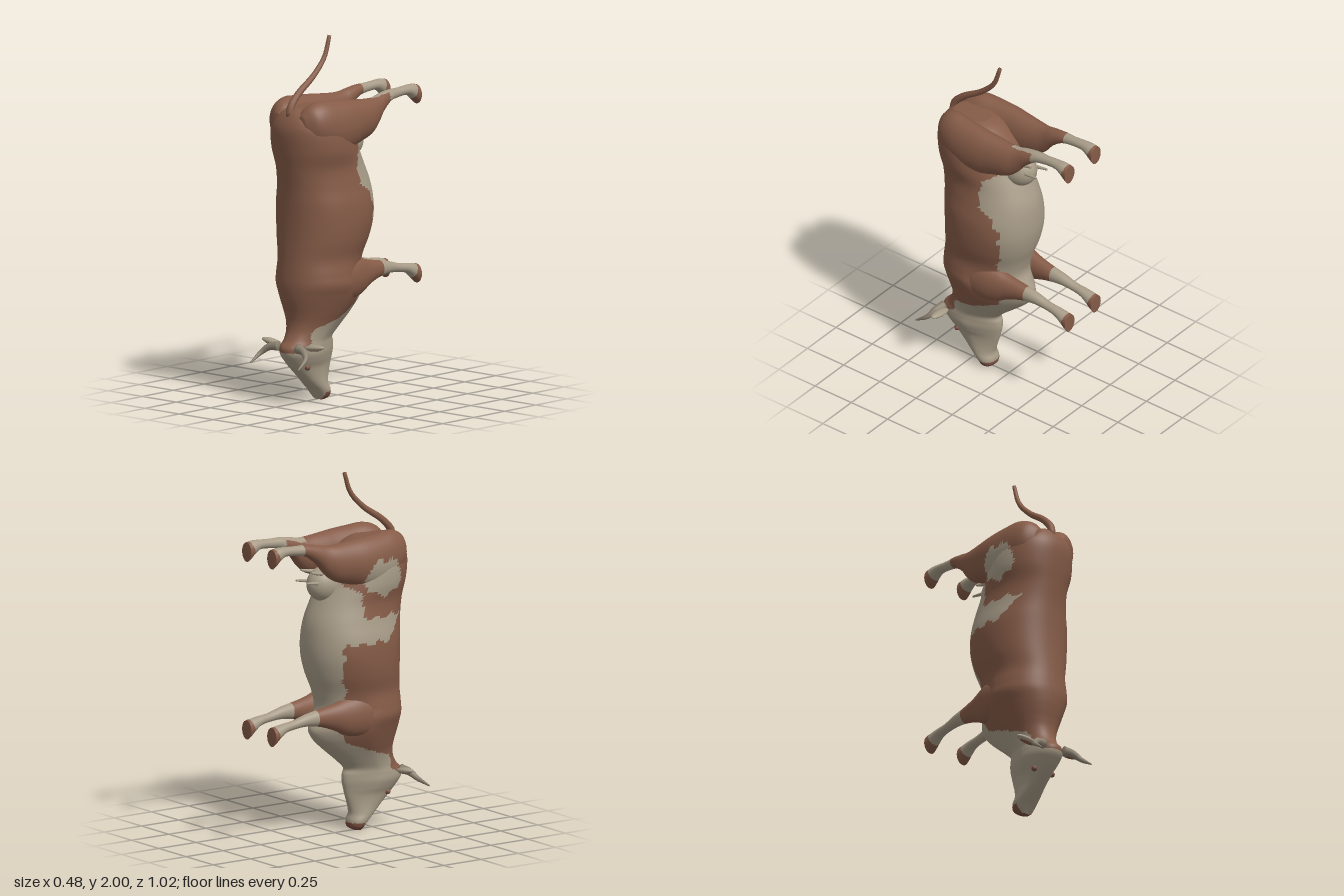
import * as THREE from 'three';

const mat = (name, color) => Object.assign(new THREE.MeshStandardMaterial({ color }), { name });

// Catmull-Rom through rows of numbers, t from 0 to 1
function sample(rows, t) {
  const f = t * (rows.length - 1), i = Math.min(Math.floor(f), rows.length - 2), k = f - i;
  const row = (j) => rows[Math.max(0, Math.min(rows.length - 1, j))];
  return rows[i].map((_, c) => {
    const [a, b, d, e] = [row(i - 1)[c], row(i)[c], row(i + 1)[c], row(i + 2)[c]];
    const m0 = (d - a) / 2, m1 = (e - b) / 2, q = k * k, r = q * k;
    return (2 * r - 3 * q + 1) * b + (r - 2 * q + k) * m0 + (3 * q - 2 * r) * d + (r - q) * m1;
  });
}

// Closed tube of rings; point(t, angle, scale) gives the surface, scale 0 closes the ends.
// slot(x, y, z) picks the material of each face.
function skin(name, rings, sides, point, materials, slot = () => 0) {
  const pos = [], buckets = materials.map(() => []);
  for (let i = -1; i <= rings + 1; i++) {
    const t = Math.max(0, Math.min(1, i / rings)), scale = i < 0 || i > rings ? 0 : 1;
    for (let j = 0; j < sides; j++) pos.push(...point(t, (j / sides) * Math.PI * 2, scale));
  }
  const P = (i) => new THREE.Vector3(...pos.slice(i * 3, i * 3 + 3));
  const tris = [];
  let volume = 0;
  for (let i = 0; i < rings + 2; i++) for (let j = 0; j < sides; j++) {
    const a = i * sides + j, b = i * sides + (j + 1) % sides, c = a + sides, d = b + sides;
    for (const t of [[a, c, b], [b, c, d]]) {
      const [p, q, r] = t.map(P);
      volume += p.dot(q.clone().cross(r));
      tris.push([t, p.add(q).add(r).divideScalar(3)]);
    }
  }
  for (const [[a, b, c], m] of tris) {
    buckets[slot(m.x, m.y, m.z)].push(...(volume > 0 ? [a, b, c] : [a, c, b]));
  }
  const g = new THREE.BufferGeometry();
  g.setAttribute('position', new THREE.Float32BufferAttribute(pos, 3));
  g.setIndex(buckets.flat());
  let start = 0;
  buckets.forEach((b, k) => { g.addGroup(start, b.length, k); start += b.length; });
  g.computeVertexNormals();
  const mesh = new THREE.Mesh(g, materials);
  mesh.name = name;
  return mesh;
}

// Tapered round tube along a curve
function taper(name, points, r0, r1, material) {
  const curve = new THREE.CatmullRomCurve3(points.map((p) => new THREE.Vector3(...p)));
  const n = 20, fr = curve.computeFrenetFrames(n);
  return skin(name, n, 12, (t, a, s) => {
    const i = Math.round(t * n), r = (r0 + (r1 - r0) * t) * s;
    return curve.getPointAt(t).addScaledVector(fr.normals[i], Math.cos(a) * r)
      .addScaledVector(fr.binormals[i], Math.sin(a) * r).toArray();
  }, [material]);
}

const power = (v, e) => Math.sign(v) * Math.pow(Math.abs(v), e);

// Height y, back z, belly z, half width, narrowing toward the belly
const BODY = [
  [0.005, 0.165, 0.125, 0.03, 0], [0.025, 0.18, 0.095, 0.055, 0], [0.06, 0.21, 0.09, 0.066, 0.05],
  [0.1, 0.255, 0.1, 0.066, 0.15], [0.15, 0.31, 0.088, 0.066, 0.25], [0.2, 0.365, 0.072, 0.072, 0.3],
  [0.24, 0.4, 0.062, 0.088, 0.35], [0.28, 0.428, 0.054, 0.1, 0.35], [0.32, 0.43, 0.056, 0.1, 0.3],
  [0.355, 0.395, 0.065, 0.1, 0.25], [0.4, 0.37, 0.02, 0.112, 0.25], [0.45, 0.362, -0.04, 0.132, 0.3],
  [0.5, 0.368, -0.1, 0.157, 0.4], [0.55, 0.38, -0.148, 0.18, 0.45], [0.6, 0.39, -0.165, 0.2, 0.45],
  [0.66, 0.395, -0.13, 0.218, 0.35], [0.72, 0.392, -0.105, 0.212, 0.2], [0.8, 0.386, -0.12, 0.206, 0.1],
  [0.9, 0.381, -0.155, 0.228, 0.05], [1.0, 0.38, -0.175, 0.238, 0], [1.1, 0.383, -0.176, 0.236, 0],
  [1.2, 0.39, -0.162, 0.216, 0], [1.3, 0.405, -0.12, 0.203, 0], [1.4, 0.422, -0.07, 0.22, 0.1],
  [1.5, 0.432, -0.03, 0.215, 0.1], [1.56, 0.422, 0.02, 0.19, 0.1], [1.61, 0.395, 0.08, 0.14, 0.1],
  [1.635, 0.36, 0.14, 0.08, 0],
];

// Edge between cream underside and brown coat: height y, z
const EDGE = [
  [0, 1], [0.285, 1], [0.295, 0.4], [0.34, 0.31], [0.42, 0.3], [0.465, 0.14], [0.535, -0.02],
  [0.6, -0.06], [0.7, -0.05], [0.79, -0.03], [0.92, -0.075], [1.08, -0.075], [1.16, -0.02],
  [1.21, 0.05], [1.35, 0.05], [1.4, -0.02], [1.5, -0.03], [1.53, -0.4], [2, -0.4],
];
function edgeAt(y) {
  const i = Math.max(1, EDGE.findIndex((e) => e[0] >= y));
  const [a, b] = [EDGE[i - 1], EDGE[i]];
  return a[1] + (b[1] - a[1]) * (y - a[0]) / (b[0] - a[0]);
}

// Cream patches on one flank only
function flankPatch(x, y, z) {
  if (x > -0.08) return false;
  const w = 0.012 * Math.sin(z * 60);
  const strip = y > 1.09 + w && y < 1.225 + w && z < 0.2 + (y - 1.09) * 0.9;
  const spot = ((y - 1.44 - w) / 0.1) ** 2 + ((z - 0.18) / 0.12) ** 2 < 1;
  return strip || spot;
}

// Reach z, centre x, half width, y toward tail, y toward head
const HIND = [
  [0.39, 0.09, 0.03, 1.6, 1.5], [0.35, 0.105, 0.075, 1.65, 1.45], [0.28, 0.118, 0.092, 1.675, 1.4],
  [0.18, 0.13, 0.094, 1.668, 1.375], [0.08, 0.135, 0.088, 1.66, 1.385], [0, 0.132, 0.08, 1.652, 1.41],
  [-0.1, 0.13, 0.065, 1.643, 1.44], [-0.16, 0.125, 0.051, 1.645, 1.485], [-0.21, 0.12, 0.043, 1.655, 1.545],
  [-0.28, 0.116, 0.033, 1.665, 1.597], [-0.35, 0.115, 0.027, 1.666, 1.613], [-0.42, 0.115, 0.03, 1.67, 1.617],
  [-0.46, 0.115, 0.036, 1.672, 1.598], [-0.485, 0.115, 0.039, 1.67, 1.575], [-0.508, 0.115, 0.042, 1.665, 1.558],
];
const FORE = [
  [0.24, 0.12, 0.04, 0.75, 0.6], [0.15, 0.135, 0.07, 0.79, 0.56], [0.05, 0.138, 0.068, 0.795, 0.56],
  [-0.03, 0.13, 0.06, 0.777, 0.575], [-0.1, 0.122, 0.05, 0.755, 0.61], [-0.19, 0.116, 0.039, 0.737, 0.64],
  [-0.28, 0.115, 0.032, 0.72, 0.653], [-0.36, 0.115, 0.026, 0.698, 0.648], [-0.42, 0.115, 0.03, 0.69, 0.636],
  [-0.46, 0.115, 0.036, 0.684, 0.61], [-0.485, 0.115, 0.039, 0.68, 0.588], [-0.508, 0.115, 0.042, 0.676, 0.57],
];

export function createModel() {
  const brown = mat('brown coat', 0x855b47), cream = mat('cream coat', 0xa79b87);
  const horn = mat('horn', 0x8b8170), muzzle = mat('muzzle', 0x7a4f40);
  const model = new THREE.Group();
  model.name = 'cow';

  // Trunk, neck and head in one skin
  model.add(skin('bodyAndHead', 180, 72, (t, a, s) => {
    const [y, back, belly, w, narrow] = sample(BODY, t);
    const up = power(Math.sin(a), 0.92), side = power(Math.cos(a), 0.92);
    return [side * w * s * (1 - narrow * Math.max(0, -up)), y, (back + belly) / 2 + up * s * (back - belly) / 2];
  }, [brown, cream, muzzle], (x, y, z) => {
    if (y < 0.05 && z < 0.16) return 2;
    const underChest = y > 0.55 && y < 0.85 && Math.abs(x) < 0.1 && z < 0;
    const wobble = y > 0.35 ? 0.008 * Math.sin(y * 70) : 0;
    return underChest || z < edgeAt(y) + wobble || flankPatch(x, y, z) ? 1 : 0;
  }));

  // Legs with hooves
  const leg = (name, rows, side, sock) => skin(name, 84, 32, (t, a, s) => {
    const [z, x, w, hi, lo] = sample(rows, t);
    return [side * (x + Math.cos(a) * w * s), (hi + lo) / 2 + Math.sin(a) * s * (hi - lo) / 2, z];
  }, [brown, cream], (x, y, z) => {
    const mid = rows === HIND ? 1.615 : 0.63;
    if (z < -0.475 - 0.35 * (y - mid)) return 0;
    const hockStripe = rows === HIND && side > 0 && z < -0.12 && y > 1.61 && Math.abs(x - 0.115) < 0.024;
    return z < sock || hockStripe || flankPatch(x, y, z) ? 1 : 0;
  });

  for (const side of [1, -1]) {
    const label = side > 0 ? 'left' : 'right';
    model.add(leg(label + 'HindLeg', HIND, side, side > 0 ? -0.26 : -0.3));
    model.add(leg(label + 'FrontLeg', FORE, side, -0.21));

    // Horn
    model.add(taper(label + 'Horn', [[0.07, 0.32, 0.395], [0.125, 0.312, 0.41], [0.163, 0.28, 0.435],
      [0.175, 0.23, 0.508]].map(([x, y, z]) => [x * side, y, z]), 0.027, 0.004, horn));

    // Ear with darker inner face
    const ear = new THREE.Group();
    ear.name = label + 'Ear';
    const shell = new THREE.Mesh(new THREE.SphereGeometry(1, 24, 16), cream);
    shell.name = 'earShell';
    shell.scale.set(0.07, 0.016, 0.027);
    const inner = new THREE.Mesh(new THREE.SphereGeometry(1, 20, 12), brown);
    inner.name = 'earInner';
    inner.scale.set(0.045, 0.004, 0.016);
    inner.position.y = -0.014;
    ear.add(shell, inner);
    ear.position.set(side * 0.156, 0.331, 0.358);
    ear.rotation.z = side * 0.12;
    model.add(ear);

    // Eye
    const eye = new THREE.Mesh(new THREE.SphereGeometry(0.016, 16, 12), muzzle);
    eye.name = label + 'Eye';
    eye.position.set(side * 0.062, 0.205, 0.31);
    model.add(eye);

    // Teats
    for (const [y, tip] of [[1.42, -0.222], [1.475, -0.19]]) {
      model.add(taper(label + 'Teat', [[side * 0.042, y - 0.01, -0.1], [side * 0.046, y, -0.16],
        [side * 0.05, y + 0.008, tip]], 0.013, 0.006, cream));
    }
  }

  // Udder
  const udder = new THREE.Mesh(new THREE.SphereGeometry(1, 32, 24), cream);
  udder.name = 'udder';
  udder.scale.set(0.088, 0.1, 0.115);
  udder.position.set(0, 1.4, -0.06);
  model.add(udder);

  // Tail
  model.add(taper('tail', [[0, 1.59, 0.385], [0, 1.64, 0.378], [0, 1.705, 0.32], [0, 1.795, 0.19],
    [0, 1.885, 0.105], [0, 1.998, 0.065]], 0.022, 0.011, brown));

  return model;
}
